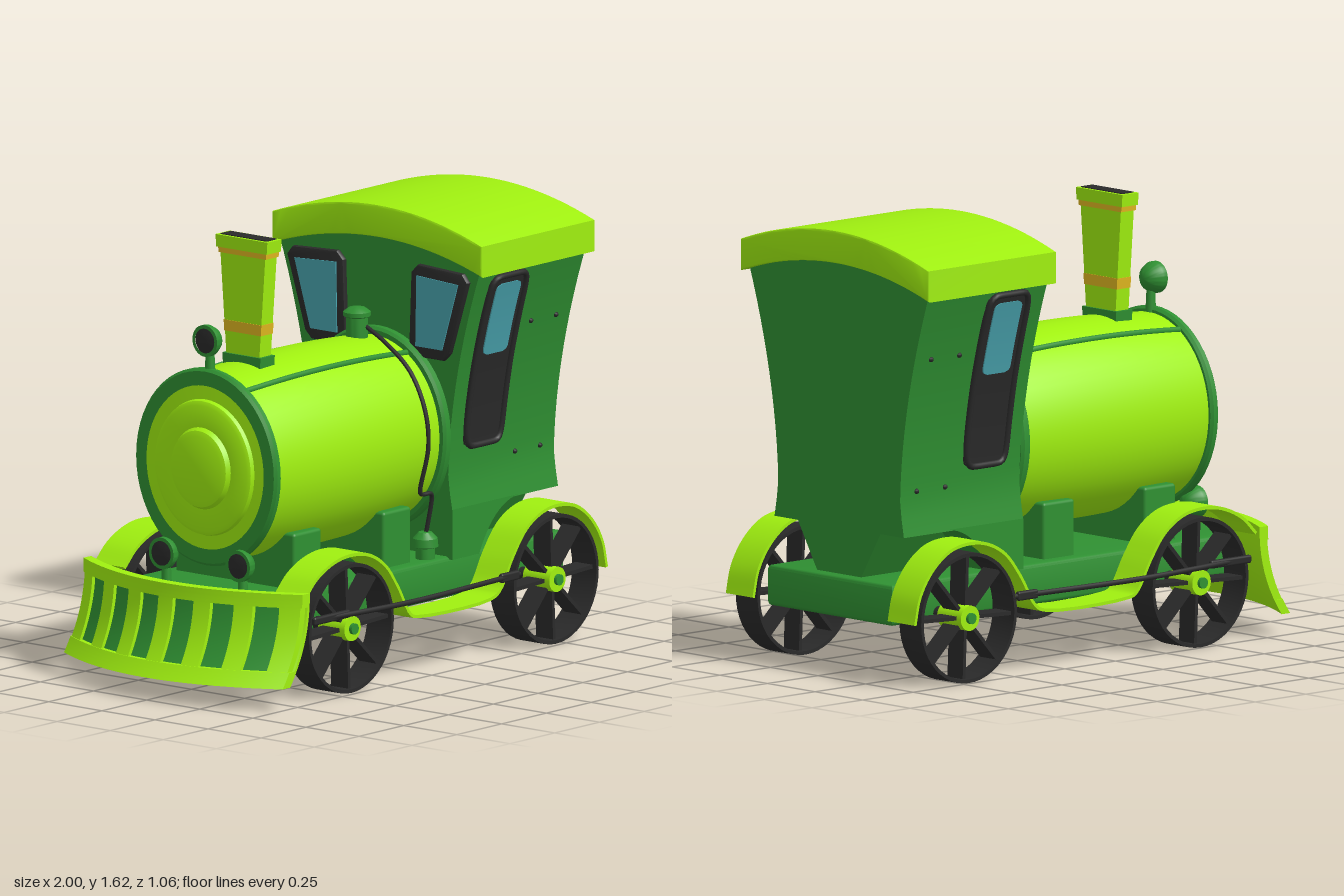
import * as THREE from 'three';
import { toCreasedNormals } from 'three/addons/utils/BufferGeometryUtils.js';
import { RoundedBoxGeometry } from 'three/addons/geometries/RoundedBoxGeometry.js';

const mat = (color) => new THREE.MeshStandardMaterial({ color });
const V = (x, y, z) => new THREE.Vector3(x, y, z);
const V2 = (x, y) => new THREE.Vector2(x, y);

export function createModel() {
  const lime = mat(0xa0f010), green = mat(0x2f9032), black = mat(0x2a2a2a);
  const glass = mat(0x4aa5b0), orange = mat(0xe0b820);
  const train = new THREE.Group();
  const side = new THREE.Group();
  side.name = 'sideParts';

  const add = (parent, name, geo, material, x = 0, y = 0, z = 0) => {
    const m = new THREE.Mesh(geo, material);
    m.name = name;
    m.position.set(x, y, z);
    parent.add(m);
    return m;
  };
  const crease = (geo) => toCreasedNormals(geo, 0.6);
  // Moves every vertex by a rule, then rebuilds the normals
  const warp = (geo, rule) => {
    const p = geo.attributes.position, v = V();
    for (let i = 0; i < p.count; i++) {
      rule(v.fromBufferAttribute(p, i));
      p.setXYZ(i, v.x, v.y, v.z);
    }
    return crease(geo);
  };
  // Extrudes a [z, y] outline along x
  const extrudeX = (pts, x0, x1, bevel = 0) => {
    const geo = new THREE.ExtrudeGeometry(new THREE.Shape(pts.map((p) => V2(...p))), {
      depth: x1 - x0 - 2 * bevel, bevelEnabled: bevel > 0, bevelSize: bevel,
      bevelThickness: bevel, bevelOffset: -bevel, bevelSegments: 2,
    });
    return crease(geo.rotateY(-Math.PI / 2).translate(x1 - bevel, 0, 0));
  };
  // Lathe around the x axis from [x, radius] points, back to front
  const latheX = (pts) => crease(
    new THREE.LatheGeometry(pts.map(([x, r]) => V2(r, -x)), 56).rotateZ(Math.PI / 2));
  const tube = (pts, r, closed = false, n = 48) => new THREE.TubeGeometry(
    new THREE.CatmullRomCurve3(pts, closed, 'centripetal'), n, r, 8, closed);

  // Chassis with a bowed nose
  const plan = new THREE.Shape();
  plan.moveTo(0.93, -0.31);
  plan.lineTo(0.93, 0.31);
  plan.lineTo(-0.72, 0.31);
  plan.quadraticCurveTo(-0.93, 0, -0.72, -0.31);
  add(train, 'chassis', crease(new THREE.ExtrudeGeometry(plan, {
    depth: 0.12, bevelSize: 0.015, bevelThickness: 0.015, bevelSegments: 3, curveSegments: 20,
  }).rotateX(Math.PI / 2)), green, 0, 0.355, 0);

  // Boiler, slightly barrel shaped
  const boiler = new THREE.Group();
  boiler.name = 'boiler';
  boiler.position.y = 0.81;
  boiler.scale.z = 0.92;
  train.add(boiler);
  const radius = (x) => 0.362 - 0.1 * (x + 0.18) ** 2;
  const barrel = [];
  for (let i = 0; i <= 16; i++) barrel.push([0.31 - i * 0.06, radius(0.31 - i * 0.06)]);
  add(boiler, 'barrel', latheX(barrel), lime);
  const ring = (x0, x1, r) => latheX([[x1, 0.3], [x1, r - 0.01], [x1 - 0.01, r], [x0 + 0.01, r], [x0, r - 0.01], [x0, 0.3]]);
  add(boiler, 'frontRing', ring(-0.668, -0.63, 0.362), green);
  add(boiler, 'rearRing', ring(0.268, 0.312, 0.37), green);
  add(boiler, 'frontDoor', latheX([[-0.64, 0.335], [-0.66, 0.33], [-0.665, 0.25], [-0.68, 0.245],
    [-0.688, 0.23], [-0.688, 0.15], [-0.705, 0.14], [-0.712, 0.12], [-0.712, 0]]), lime);
  for (const s of [-1, 1]) {
    const pts = [-0.64, -0.4, -0.18, 0.05, 0.28].map((x) =>
      V(x, radius(x) * Math.cos(0.53), s * radius(x) * Math.sin(0.53)));
    add(boiler, 'barrelStrip', tube(pts, 0.012), green);
  }
  for (const x of [-0.425, 0.075])
    add(train, 'boilerSaddle', new RoundedBoxGeometry(0.155, 0.22, 0.56, 2, 0.012), green, x, 0.465, 0);

  // Chimney, flared sideways
  const flare = (y) => 0.075 + 0.075 * (y - 1.15);
  const chimneyPart = (name, y0, y1, hx, out, m) => {
    const a = flare(y0) + out, b = flare(y1) + out;
    add(train, name, extrudeX([[-a, y0], [a, y0], [b, y1], [-b, y1]], -0.425 - hx, -0.425 + hx), m);
  };
  chimneyPart('chimneyBase', 1.13, 1.19, 0.04, 0.012, green);
  chimneyPart('chimney', 1.15, 1.6, 0.032, 0, lime);
  chimneyPart('chimneyBand', 1.27, 1.31, 0.034, 0.002, orange);
  chimneyPart('chimneyUpperBand', 1.555, 1.575, 0.036, 0.006, orange);
  chimneyPart('chimneyRim', 1.575, 1.62, 0.04, 0.012, lime);
  chimneyPart('chimneyOpening', 1.6, 1.623, 0.028, -0.002, black);

  // Steam dome, valve and its pipe
  const lathe = (pts) => crease(new THREE.LatheGeometry(pts.map((p) => V2(...p)), 24));
  add(train, 'steamDome', lathe([[0.04, 0], [0.04, 0.08], [0.05, 0.085], [0.05, 0.1], [0.03, 0.115], [0, 0.12]]),
    green, 0.18, 1.15, 0);
  add(train, 'valve', lathe([[0.035, 0], [0.035, 0.04], [0.048, 0.045], [0.045, 0.075], [0.025, 0.097], [0, 0.1]]),
    green, 0.235, 0.37, 0.275);
  add(train, 'steamPipe', tube([V(0.19, 1.2, 0.03), V(0.187, 1.15, 0.13), V(0.182, 1.06, 0.25), V(0.175, 0.93, 0.325),
    V(0.17, 0.8, 0.345), V(0.16, 0.64, 0.315), V(0.17, 0.62, 0.31), V(0.225, 0.615, 0.31), V(0.237, 0.6, 0.305),
    V(0.237, 0.45, 0.275)], 0.008, false, 90), black);

  // Lamps face the nose
  const lamp = (parent, x, y, z, postY) => {
    const g = new THREE.Group();
    g.name = 'lamp';
    g.position.set(x, y, z);
    parent.add(g);
    add(g, 'lampShell', latheX([[0.05, 0], [0.043, 0.025], [0.025, 0.045], [0, 0.058], [-0.02, 0.058], [-0.02, 0.045]]), green);
    add(g, 'lampLens', latheX([[-0.012, 0.05], [-0.016, 0.03], [-0.018, 0]]), black);
    const h = y - postY;
    add(g, 'lampPost', new THREE.CylinderGeometry(0.014, 0.02, h, 12), green, 0.01, -h / 2, 0);
  };
  lamp(train, -0.65, 1.275, 0, 1.15);
  lamp(side, -0.68, 0.475, 0.18, 0.36);

  // Cab with walls that flare out to the roof
  const wall = (y) => (y > 0.65 ? 0.32 + 0.145 * ((y - 0.65) / 0.77) ** 1.8 : 0.32 + (0.65 - y) * 0.18);
  const right = [];
  for (let i = 0; i <= 14; i++) {
    const y = 0.54 + i * 0.065;
    right.push([wall(y), y]);
  }
  const mirrored = (pts) => [...pts, ...pts.map(([z, y]) => [-z, y]).reverse()];
  add(train, 'cab', extrudeX(mirrored([...right, [0.25, 1.5], [0.1, 1.53]]), 0.31, 0.9), green);
  add(train, 'cabRearFoot', extrudeX(mirrored([[0.11, 0.36], [0.22, 0.545]]), 0.4, 0.9), green);
  const foot = new THREE.Shape();
  foot.moveTo(0.31, 0.36);
  foot.lineTo(0.46, 0.36);
  foot.quadraticCurveTo(0.54, 0.53, 0.68, 0.545);
  foot.lineTo(0.31, 0.545);
  add(train, 'cabFrontFoot', crease(new THREE.ExtrudeGeometry(foot, { depth: 0.68, bevelEnabled: false })), green, 0, 0, -0.34);

  // Arched roof
  const roof = [];
  const arch = (z, top, drop) => top - drop * (z / 0.495) ** 2;
  for (let i = -12; i <= 12; i++) roof.push([i * 0.04125, arch(i * 0.04125, 1.505, 0.085)]);
  for (let i = 12; i >= -12; i--) roof.push([i * 0.04125, arch(i * 0.04125, 1.625, 0.09)]);
  add(train, 'roof', extrudeX(roof, 0.29, 0.925, 0.008), lime);

  // Side door: rounded panels that follow the wall
  const panel = (name, w, h, cy, out, r, m) => add(side, name, warp(new THREE.BoxGeometry(w, h, 0.03, 2, 40, 1), (v) => {
    const d = Math.min(r, h / 2 - Math.abs(v.y));
    v.x *= 1 - (2 / w) * (r - Math.sqrt(Math.max(0, r * r - (r - d) ** 2)));
    v.z += wall(v.y + cy) + out - 0.015;
    v.x += 0.49;
    v.y += cy;
  }), m);
  panel('door', 0.21, 0.65, 1.08, 0.008, 0.035, black);
  panel('doorWindow', 0.135, 0.27, 1.235, 0.013, 0.025, glass);
  const rim = [];
  for (let i = 0; i < 60; i++) {
    const a = (i / 60) * Math.PI * 2, c = Math.cos(a), s = Math.sin(a);
    const y = 1.08 + 0.32 * Math.sign(s) * Math.abs(s) ** 0.25;
    rim.push(V(0.49 + 0.1 * Math.sign(c) * Math.abs(c) ** 0.25, y, wall(y) + 0.008));
  }
  add(side, 'doorRim', tube(rim, 0.012, true, 120), black);

  // Front windows and rivets of the cab
  add(side, 'frontWindowFrame', extrudeX([[0.15, 1.13], [0.18, 1.09], [0.31, 1.09], [0.34, 1.12], [0.425, 1.39],
    [0.4, 1.42], [0.19, 1.43], [0.16, 1.4]], 0.29, 0.32, 0.008), black);
  add(side, 'frontWindow', extrudeX([[0.185, 1.13], [0.31, 1.13], [0.385, 1.38], [0.19, 1.39]], 0.286, 0.31), glass);
  for (const x of [0.68, 0.82]) for (const y of [0.7, 1.19])
    add(side, 'rivet', new THREE.SphereGeometry(0.01, 8, 6), black, x, y, wall(y));

  // Fender sweeping over both wheels
  const sweep = new THREE.CatmullRomCurve3([[-0.7, 0.4], [-0.63, 0.465], [-0.53, 0.51], [-0.43, 0.522], [-0.33, 0.505],
    [-0.24, 0.45], [-0.17, 0.36], [-0.1, 0.25], [-0.06, 0.238], [0.34, 0.238], [0.39, 0.26], [0.46, 0.37], [0.54, 0.465],
    [0.63, 0.512], [0.72, 0.524], [0.82, 0.505], [0.91, 0.44], [0.97, 0.35], [0.995, 0.25]].map(([x, y]) => V(x, y, 0)), false, 'centripetal');
  const upper = [], lower = [];
  for (let i = 0; i <= 90; i++) {
    const p = sweep.getPoint(i / 90), t = sweep.getTangent(i / 90);
    upper.push(V2(p.x, p.y));
    lower.unshift(V2(p.x + t.y * 0.012, p.y - t.x * 0.012));
  }
  add(side, 'fender', crease(new THREE.ExtrudeGeometry(new THREE.Shape([...upper, ...lower]),
    { depth: 0.14, bevelEnabled: false })), lime, 0, 0, 0.355);

  // Spoked wheels
  for (const x of [-0.428, 0.716]) {
    const wheel = new THREE.Group();
    wheel.name = 'wheel';
    wheel.position.set(x, 0.245, 0.43);
    side.add(wheel);
    add(wheel, 'tyre', crease(new THREE.LatheGeometry([[0.224, -0.057], [0.237, -0.057], [0.237, 0.057], [0.224, 0.057],
      [0.224, -0.057]].map((p) => V2(...p)), 48).rotateX(Math.PI / 2)), black);
    for (let i = 0; i < 4; i++)
      add(wheel, 'spoke', new THREE.BoxGeometry(0.455, 0.014, 0.08), black).rotation.z = (i * Math.PI) / 4 + 0.04;
    const disc = (name, r, d, z, m) => add(wheel, name, new THREE.CylinderGeometry(r, r, d, 24).rotateX(Math.PI / 2), m, 0, 0, z);
    disc('hub', 0.046, 0.125, 0, lime);
    disc('hubNut', 0.02, 0.02, 0.065, green);
    disc('axle', 0.025, 0.43, -0.215, black);
  }

  // Coupling rod
  add(side, 'couplingRod', tube([V(-0.66, 0.31, 0.495), V(-0.38, 0.305, 0.515), V(-0.1, 0.3, 0.52), V(0.5, 0.3, 0.495)], 0.01), black);
  add(side, 'rodEnd', new RoundedBoxGeometry(0.1, 0.034, 0.02, 2, 0.008), black, 0.44, 0.3, 0.498);
  add(side, 'rodFrontEnd', new RoundedBoxGeometry(0.2, 0.03, 0.02, 2, 0.008), black, -0.56, 0.308, 0.502);

  // Cowcatcher: pieces bent onto one bowed, scooped surface
  const scoop = (name, z0, z1, y0, y1, d0, d1, m) => add(train, name, warp(
    new THREE.BoxGeometry(d1 - d0, y1 - y0, z1 - z0, 1, 10, Math.ceil((z1 - z0) * 40)), (v) => {
      v.y += (y0 + y1) / 2;
      v.z += (z0 + z1) / 2;
      const t = Math.min(1, (v.y - 0.09) / 0.33);
      v.x += (d0 + d1) / 2 - 0.89 - 0.11 * (1 - t) ** 2.2 + 0.155 * (v.z / 0.515) ** 2;
    }), m);
  scoop('cowcatcherBack', -0.515, 0.515, 0.09, 0.42, 0.03, 0.042, lime);
  scoop('cowcatcherPanel', -0.5, 0.5, 0.1, 0.41, 0.02, 0.031, green);
  scoop('cowcatcherTopRail', -0.515, 0.515, 0.37, 0.42, 0, 0.035, lime);
  scoop('cowcatcherBottomRail', -0.515, 0.515, 0.09, 0.145, 0, 0.035, lime);
  for (let i = -3; i <= 3; i++) {
    const z = i * 0.158;
    scoop('cowcatcherBar', z - 0.034, z + 0.034, 0.12, 0.4, 0.003, 0.035, lime);
  }

  // Far side is the mirror of the near side
  const far = side.clone();
  far.scale.z = -1;
  train.add(side, far);
  train.position.z = -0.005;
  const model = new THREE.Group();
  model.name = 'toyTrain';
  model.add(train);
  return model;
}
